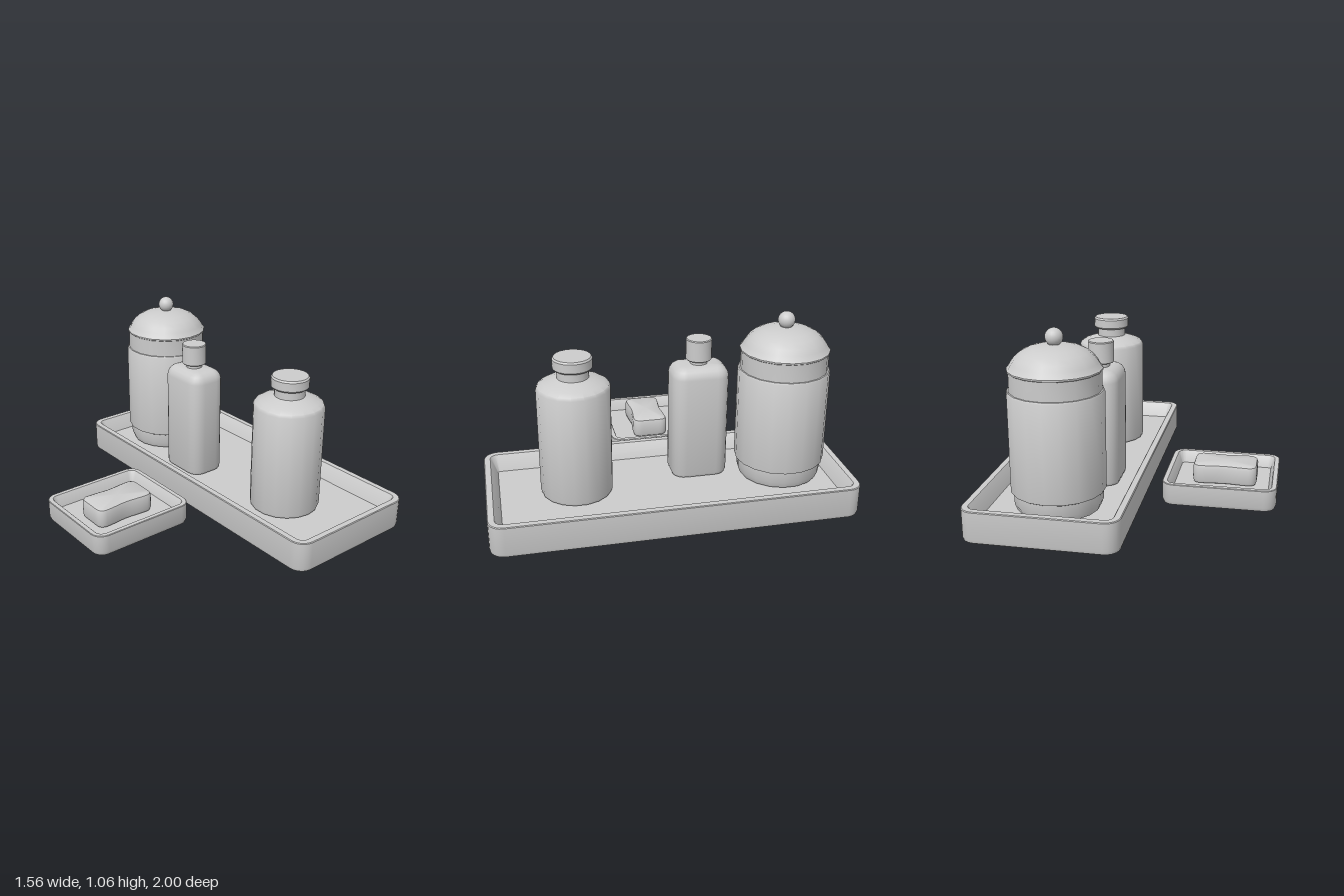
import * as THREE from 'three';
import { toCreasedNormals } from 'three/addons/utils/BufferGeometryUtils.js';

const CORNER = 5;

// Rounded-rectangle outline, with each straight edge split into `split` pieces
function outline(w, d, r, split) {
  const corners = [[1, 1], [-1, 1], [-1, -1], [1, -1]];
  const pts = [];
  corners.forEach(([sx, sz], c) => {
    for (let i = 0; i <= CORNER; i++) {
      const a = (c + i / CORNER) * Math.PI / 2;
      pts.push([sx * (w / 2 - r) + r * Math.cos(a), sz * (d / 2 - r) + r * Math.sin(a)]);
    }
    const [nx, nz] = corners[(c + 1) % 4];
    const e = (c + 1) * Math.PI / 2;
    const end = [nx * (w / 2 - r) + r * Math.cos(e), nz * (d / 2 - r) + r * Math.sin(e)];
    const start = pts[pts.length - 1];
    for (let i = 1; i < split; i++) {
      const t = i / split;
      pts.push([start[0] + (end[0] - start[0]) * t, start[1] + (end[1] - start[1]) * t]);
    }
  });
  return pts;
}

// Closed loft through rings given as [inset, y]
function loft(w, d, r, rings, split = 1, rule = null) {
  const pos = [], idx = [];
  let n = 0;
  for (const [inset, y] of rings) {
    const pts = outline(w - 2 * inset, d - 2 * inset, Math.max(r - inset, 0.012), split);
    n = pts.length;
    for (const [x, z] of pts) pos.push(x, y, z);
  }
  const last = rings.length - 1;
  const bottom = pos.length / 3, top = bottom + 1;
  pos.push(0, rings[0][1], 0, 0, rings[last][1], 0);
  for (let j = 0; j < n; j++) {
    const k = (j + 1) % n;
    for (let i = 0; i < last; i++) {
      const a = i * n + j, b = i * n + k;
      idx.push(a, a + n, b, b, a + n, b + n);
    }
    idx.push(bottom, j, k, top, last * n + k, last * n + j);
  }
  if (rule) for (let i = 0; i < pos.length; i += 3) rule(pos, i);
  const g = new THREE.BufferGeometry();
  g.setAttribute('position', new THREE.Float32BufferAttribute(pos, 3));
  g.setIndex(idx);
  return toCreasedNormals(g, 0.6);
}

// Turned shape from [radius, y] points
function turned(points, sides) {
  const g = new THREE.LatheGeometry(points.map(([r, y]) => new THREE.Vector2(r, y)), sides);
  return toCreasedNormals(g, 0.6);
}

export function createModel() {
  const model = new THREE.Group();
  const grey = new THREE.MeshStandardMaterial({ color: 0xcccccc });
  grey.name = 'grey';

  function group(name, x, z) {
    const g = new THREE.Group();
    g.name = name;
    g.position.set(x, 0, z);
    model.add(g);
    return g;
  }
  function add(parent, name, geometry, y = 0) {
    const m = new THREE.Mesh(geometry, grey);
    m.name = name;
    m.position.y = y;
    parent.add(m);
  }

  // Long tray
  add(group('trayGroup', 0.365, 0), 'tray', loft(0.83, 2, 0.08, [
    [0.018, 0], [0.005, 0.008], [0, 0.025], [0, 0.176], [0.004, 0.18],
    [0.036, 0.18], [0.04, 0.176], [0.075, 0.09]]));

  // Small dish with its soap bar
  const dish = group('soapDish', -0.4675, -0.0675);
  add(dish, 'dish', loft(0.635, 0.575, 0.07, [
    [0.025, 0], [0.008, 0.008], [0, 0.028], [0, 0.127], [0.003, 0.13],
    [0.027, 0.13], [0.03, 0.127], [0.05, 0.06]]));
  const soap = group('soap', -0.4825, -0.0475);
  add(soap, 'soapBar', loft(0.365, 0.215, 0.045, [
    [0.022, 0.06], [0.006, 0.067], [0, 0.083], [0, 0.155],
    [0.006, 0.172], [0.022, 0.18]], 8, (p, i) => {
    // pinch the long sides at the middle
    p[i + 2] *= 1 - 0.11 * Math.exp(-((p[i] / 0.08) ** 2));
  }));

  // Round bottle with a collar cap
  const bottle = group('roundBottle', 0.315, 0.5);
  add(bottle, 'bottleBody', turned([
    [0, 0.09], [0.18, 0.09], [0.195, 0.098], [0.2, 0.115], [0.2, 0.71],
    [0.192, 0.726], [0.165, 0.742], [0.12, 0.758], [0.086, 0.768], [0.086, 0.825], [0, 0.825]], 18));
  add(bottle, 'bottleCap', turned([
    [0, 0.817], [0.1, 0.817], [0.107, 0.826], [0.107, 0.875],
    [0.1, 0.885], [0, 0.885]], 24));

  // Flat bottle with a cylindrical cap
  const flask = group('flatBottle', 0.2125, -0.21);
  add(flask, 'flaskBody', loft(0.236, 0.32, 0.075, [
    [0.025, 0.09], [0.007, 0.097], [0, 0.115], [0, 0.69], [0.005, 0.712],
    [0.018, 0.732], [0.038, 0.746], [0.06, 0.752]]));
  add(flask, 'flaskNeck', new THREE.CylinderGeometry(0.048, 0.048, 0.05, 20), 0.765);
  add(flask, 'flaskCap', turned([
    [0, 0.775], [0.069, 0.775], [0.072, 0.779], [0.072, 0.892],
    [0.068, 0.897], [0, 0.897]], 24));

  // Domed jar
  const jar = group('jar', 0.343, -0.66);
  add(jar, 'jarBody', turned([
    [0, 0.09], [0.19, 0.09], [0.222, 0.105], [0.236, 0.14], [0.238, 0.198],
    [0.251, 0.205], [0.253, 0.215], [0.253, 0.732], [0.248, 0.742], [0, 0.742]], 18));
  add(jar, 'jarLid', turned([
    [0, 0.735], [0.24, 0.735], [0.24, 0.842], [0.246, 0.846], [0.246, 0.854],
    [0.238, 0.862], [0.225, 0.885], [0.205, 0.912], [0.175, 0.938],
    [0.135, 0.958], [0.085, 0.971], [0.035, 0.976], [0, 0.977]], 18));
  add(jar, 'lidKnobNeck', new THREE.CylinderGeometry(0.026, 0.034, 0.03, 16), 0.98);
  add(jar, 'lidKnob', new THREE.SphereGeometry(0.047, 20, 14), 1.013);

  return model;
}
